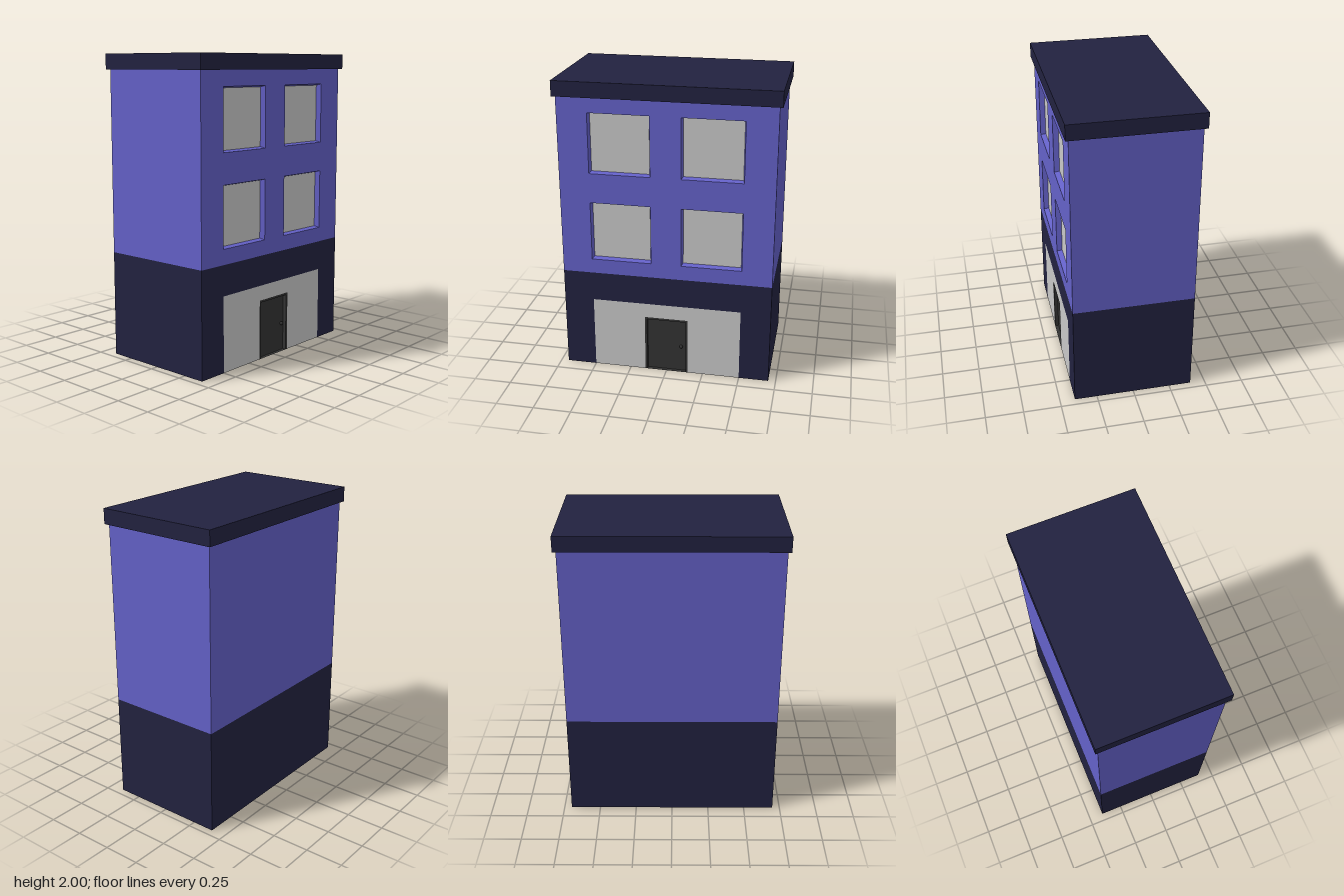
import * as THREE from 'three';

const mat = (name, color) => new THREE.MeshStandardMaterial({ name, color, side: THREE.DoubleSide });

export function createModel() {
  const violet = mat('violetWall', 0x6461c8);
  const navy = mat('navyTrim', 0x222240);
  const grey = mat('paleGlass', 0xc8c8c8);
  const charcoal = mat('charcoalDoor', 0x333333);
  const W = 0.8, D = 1.4, SPLIT = 0.7, TOP = 1.9;

  const model = new THREE.Group();
  model.name = 'townhouse';

  const add = (parent, name, geometry, material, x = 0, y = 0, z = 0) => {
    const mesh = new THREE.Mesh(geometry, material);
    mesh.name = name;
    mesh.position.set(x, y, z);
    parent.add(mesh);
    return mesh;
  };

  // Flat panel with rectangular openings; rectangles are [x0, y0, x1, y1]
  const trace = (path, [x0, y0, x1, y1]) =>
    path.moveTo(x0, y0).lineTo(x1, y0).lineTo(x1, y1).lineTo(x0, y1).closePath();
  const panel = (outline, holes = []) => {
    const shape = trace(new THREE.Shape(), outline);
    shape.holes = holes.map((h) => trace(new THREE.Path(), h));
    return new THREE.ShapeGeometry(shape);
  };

  // Four tapering sides of a recess, wide end at z = 0
  const reveal = (w, h, taper, depth) => {
    const g = new THREE.CylinderGeometry(Math.SQRT1_2, Math.SQRT1_2 * taper, depth, 4, 1, true)
      .rotateY(Math.PI / 4).rotateX(Math.PI / 2).scale(w, h, 1)
      .translate(0, 0, -depth / 2).toNonIndexed();
    g.computeVertexNormals();
    return g;
  };

  // Three plain sides, hollow and open underneath
  for (const [name, y0, y1, material] of [['lower', 0, SPLIT, navy], ['upper', SPLIT, TOP, violet]]) {
    const h = y1 - y0, y = (y0 + y1) / 2;
    add(model, name + 'FrontWall', new THREE.PlaneGeometry(W, h), material, 0, y, D / 2);
    add(model, name + 'BackWall', new THREE.PlaneGeometry(W, h).rotateY(Math.PI), material, 0, y, -D / 2);
    add(model, name + 'PlainSideWall', new THREE.PlaneGeometry(D, h).rotateY(-Math.PI / 2), material, -W / 2, y, 0);
  }

  // Roof slab
  add(model, 'roof', new THREE.BoxGeometry(W + 0.04, 0.1, D + 0.04), navy, 0, TOP + 0.05, 0);

  // Street facade, drawn facing +z and turned to +x
  const facade = new THREE.Group();
  facade.name = 'facade';
  facade.position.x = W / 2;
  facade.rotation.y = Math.PI / 2;
  model.add(facade);

  const size = 0.4, depth = 0.035, taper = 0.955;
  const centres = [1.0, 1.6].flatMap((y) => [-0.3, 0.3].map((x) => [x, y]));
  const holes = centres.map(([x, y]) => [x - size / 2, y - size / 2, x + size / 2, y + size / 2]);
  add(facade, 'upperFacade', panel([-D / 2, SPLIT, D / 2, TOP], holes), violet);

  // Recessed windows
  for (const [x, y] of centres) {
    add(facade, 'windowReveal', reveal(size, size, taper, depth), violet, x, y);
    add(facade, 'windowPane', new THREE.PlaneGeometry(size * taper, size * taper), grey, x, y, -depth);
  }

  // Shop front: wall surround, glazing and door opening
  const shop = [-0.5, 0, 0.5, 0.5], door = [-0.147, 0, 0.147, 0.4];
  const surround = new THREE.Shape([[-0.7, 0], [-0.5, 0], [-0.5, 0.5], [0.5, 0.5], [0.5, 0], [0.7, 0], [0.7, SPLIT], [-0.7, SPLIT]]
    .map(([x, y]) => new THREE.Vector2(x, y)));
  add(facade, 'lowerFacade', new THREE.ShapeGeometry(surround), navy);
  const glazing = new THREE.Shape([[shop[0], 0], [door[0], 0], [door[0], door[3]], [door[2], door[3]], [door[2], 0], [shop[2], 0], [shop[2], shop[3]], [shop[0], shop[3]]]
    .map(([x, y]) => new THREE.Vector2(x, y)));
  add(facade, 'shopGlazing', new THREE.ShapeGeometry(glazing), grey);

  // Door frame, recessed leaf and knob
  const frame = new THREE.Shape([[-0.147, 0], [-0.132, 0], [-0.132, 0.385], [0.132, 0.385], [0.132, 0], [0.147, 0], [0.147, 0.4], [-0.147, 0.4]]
    .map(([x, y]) => new THREE.Vector2(x, y)));
  add(facade, 'doorFrame', new THREE.ShapeGeometry(frame), charcoal);
  add(facade, 'doorReveal', reveal(0.264, 0.385, 1, 0.025), charcoal, 0, 0.1925);
  add(facade, 'doorLeaf', new THREE.PlaneGeometry(0.264, 0.385), charcoal, 0, 0.1925, -0.025);
  add(facade, 'doorKnob', new THREE.SphereGeometry(0.012, 12, 8), charcoal, 0.1, 0.19, -0.013);

  return model;
}
